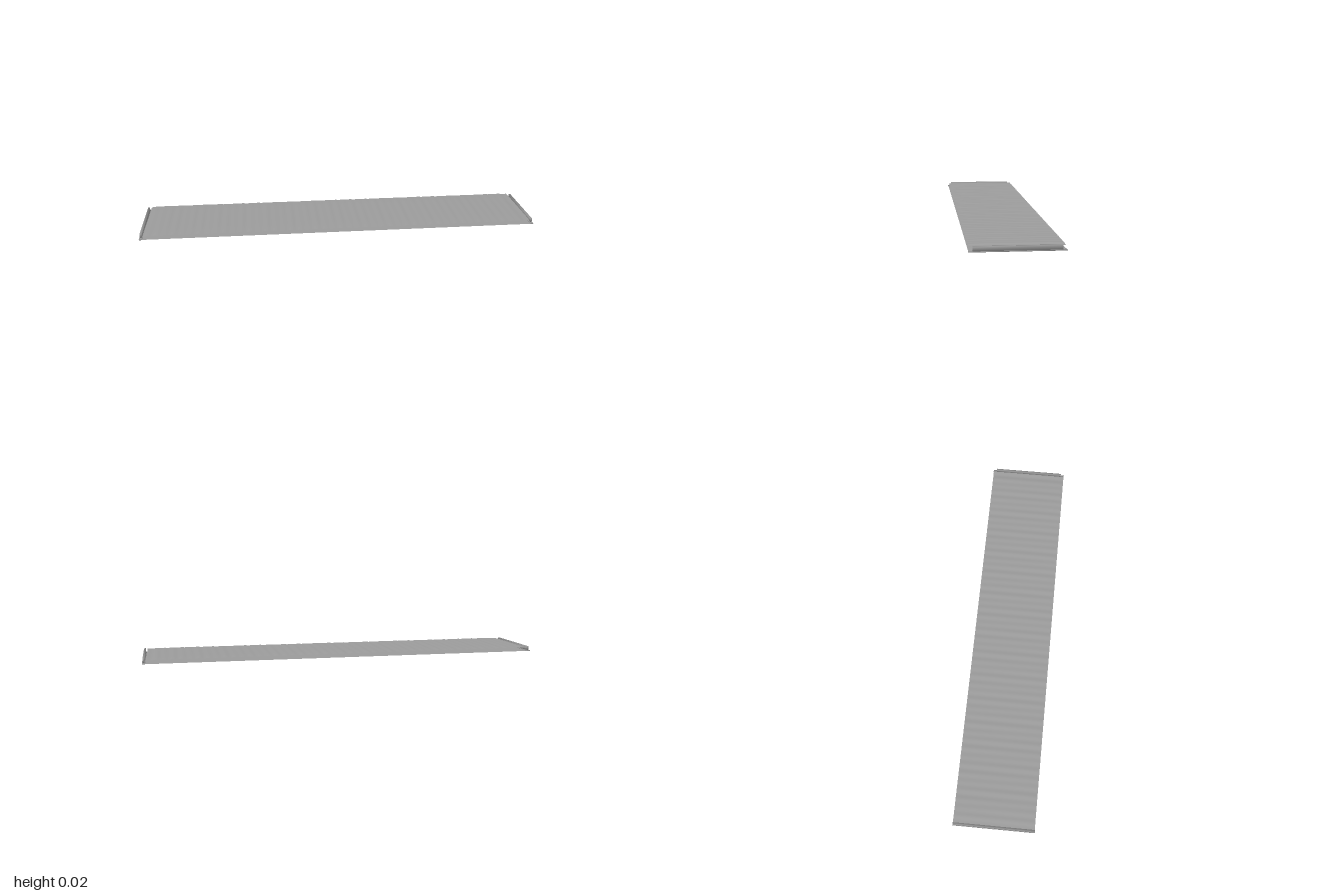
import * as THREE from 'three';
import { mergeVertices } from 'three/addons/utils/BufferGeometryUtils.js';

const grey = new THREE.MeshStandardMaterial({ color: 0x9b9b9b });
const sheetGrey = new THREE.MeshStandardMaterial({ color: 0x9b9b9b, side: THREE.DoubleSide });

function add(parent, name, geometry, x, y, z, material = grey) {
  const mesh = new THREE.Mesh(geometry, material);
  mesh.name = name;
  mesh.position.set(x, y, z);
  parent.add(mesh);
  return mesh;
}

// Box whose corner normals point diagonally outwards, for soft rounded shading
function softBox(w, h, d) {
  const box = new THREE.BoxGeometry(w, h, d);
  box.deleteAttribute('normal');
  box.deleteAttribute('uv');
  const soft = mergeVertices(box);
  const p = soft.attributes.position;
  const normals = p.clone();
  const n = new THREE.Vector3();
  for (let i = 0; i < p.count; i++) {
    n.set(Math.sign(p.getX(i)), Math.sign(p.getY(i)), Math.sign(p.getZ(i))).normalize();
    normals.setXYZ(i, n.x, n.y, n.z);
  }
  soft.setAttribute('normal', normals);
  return soft;
}

// Flat sheet rippled along x, dipping slightly at its edges
function rippledSheet(width, depth) {
  const geometry = new THREE.PlaneGeometry(width, depth, 480, 12).rotateX(-Math.PI / 2);
  const p = geometry.attributes.position;
  for (let i = 0; i < p.count; i++) {
    const x = p.getX(i), z = p.getZ(i);
    const ripple = 0.0007 * Math.sin(x * Math.PI * 2 / 0.042) + 0.0004 * Math.sin(x * 97 + z * 3);
    const endDip = 0.002 * THREE.MathUtils.smoothstep(Math.abs(x), 0.92, width / 2);
    const sideDip = 0.0015 * THREE.MathUtils.smoothstep(Math.abs(z), 0.14, depth / 2);
    p.setY(i, ripple - endDip - sideDip);
  }
  geometry.computeVertexNormals();
  return geometry;
}

export function createModel() {
  const model = new THREE.Group();
  model.name = 'rippledPanel';

  // Lower and upper sheets with an open gap between them
  const base = new THREE.PlaneGeometry(1.98, 0.4).rotateX(-Math.PI / 2);
  add(model, 'bottomSheet', base, 0, 0.001, 0, sheetGrey);
  add(model, 'topSheet', rippledSheet(1.96, 0.396), 0, 0.022, 0, sheetGrey);

  // Upright rail on a flat sill at each end
  for (const side of [-1, 1]) {
    const end = new THREE.Group();
    end.name = side > 0 ? 'leftEnd' : 'rightEnd';
    add(end, 'endSill', softBox(0.015, 0.004, 0.402), side * 0.9925, 0.002, 0);
    add(end, 'endRail', softBox(0.009, 0.02, 0.366), side * 0.993, 0.0135, 0);
    model.add(end);
  }
  return model;
}
